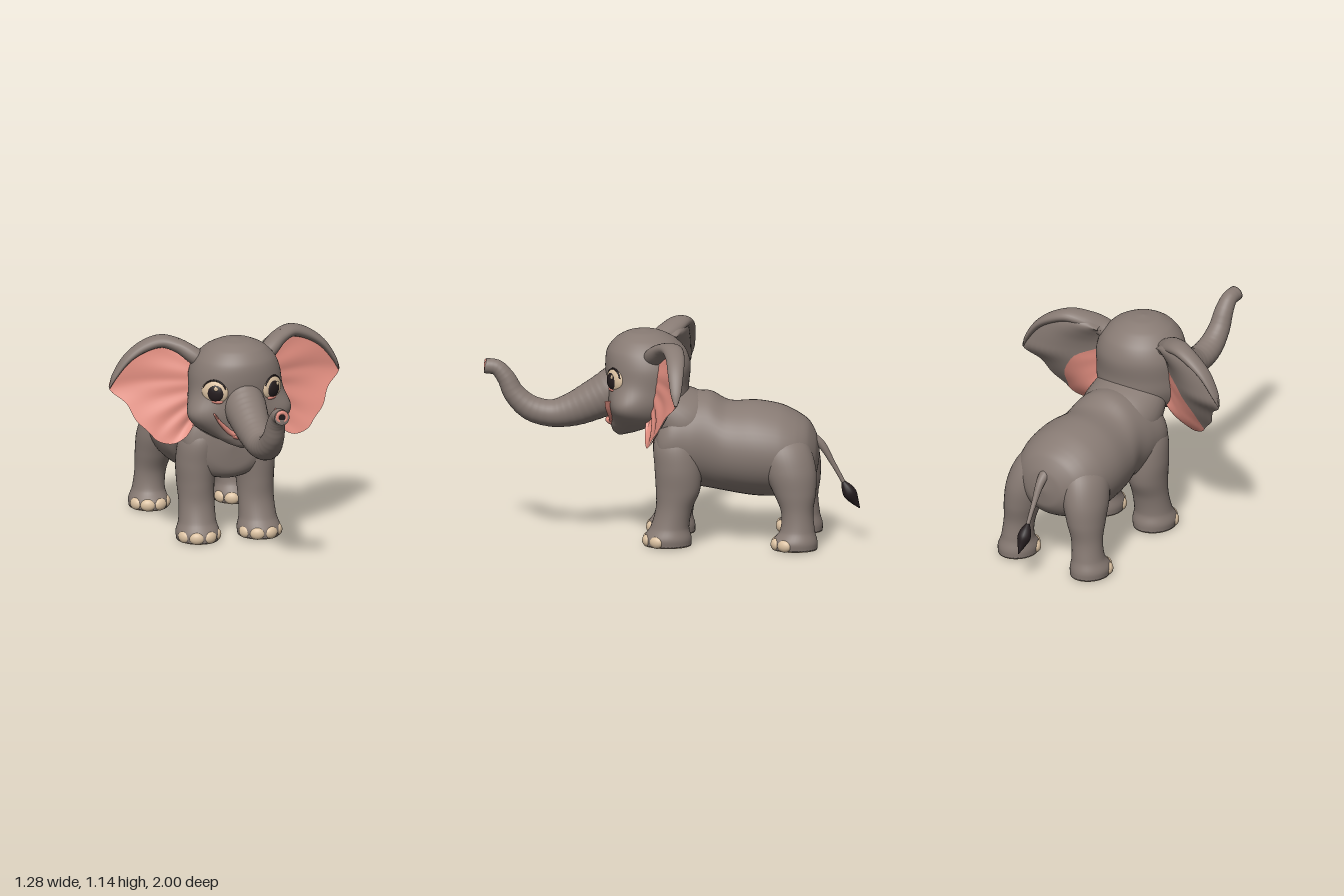
import * as THREE from 'three';

const mat = (name, color) => Object.assign(new THREE.MeshStandardMaterial({ color }), { name });
const M = {
  skin: mat('grey skin', 0x877a73),
  pink: mat('pink inner ear', 0xe38f81),
  cream: mat('cream nail', 0xdcc2a2),
  dark: mat('near black', 0x241c1e),
};

function mesh(name, geometry, material, parent) {
  const m = new THREE.Mesh(geometry, material);
  m.name = name;
  parent.add(m);
  return m;
}

function blob(name, material, pos, scale, parent, rotY = 0) {
  const m = mesh(name, new THREE.SphereGeometry(1, 28, 20), material, parent);
  m.position.set(...pos);
  m.scale.set(...scale);
  m.rotation.y = rotY;
  return m;
}

// Smooth closed skin over elliptical sections: rows of [x, y, z, radiusAlongSide, radiusAcross].
// axis fixes the section direction; otherwise sections follow the path. wrinkle adds fine rings.
function loft(rows, { axis, side = [1, 0, 0], seg = 36, sub = 7, wrinkle = 0, shape } = {}) {
  const path = new THREE.CatmullRomCurve3(rows.map(r => new THREE.Vector3(r[0], r[1], r[2])));
  const size = new THREE.CatmullRomCurve3(rows.map(r => new THREE.Vector3(r[3], r[4], 0)), false, 'catmullrom');
  const steps = (rows.length - 1) * sub, pos = [], idx = [];
  for (let i = 0; i <= steps; i++) {
    const t = i / steps, c = path.getPoint(t), s = size.getPoint(t);
    const T = axis ? new THREE.Vector3(...axis) : path.getTangent(t);
    const A = new THREE.Vector3(...side);
    A.addScaledVector(T, -A.dot(T)).normalize();
    const N = T.clone().cross(A);
    const k = 1 + wrinkle * Math.sin(i * 2.1);
    for (let j = 0; j < seg; j++) {
      const a = j / seg * Math.PI * 2;
      const p = c.clone()
        .addScaledVector(A, Math.cos(a) * Math.max(s.x, 0.001) * k)
        .addScaledVector(N, Math.sin(a) * Math.max(s.y, 0.001) * k);
      if (shape) shape(p);
      pos.push(p.x, p.y, p.z);
      if (i < steps) {
        const q = i * seg + j, r = i * seg + (j + 1) % seg;
        idx.push(q, r, r + seg, q, r + seg, q + seg);
      }
    }
  }
  const n = pos.length / 3, first = rows[0], last = rows[rows.length - 1];
  pos.push(...first.slice(0, 3), ...last.slice(0, 3));
  for (let j = 0; j < seg; j++) {
    const k = (j + 1) % seg;
    idx.push(n, k, j, n + 1, steps * seg + j, steps * seg + k);
  }
  return surface(pos, idx);
}

function surface(pos, idx) {
  const g = new THREE.BufferGeometry();
  g.setAttribute('position', new THREE.Float32BufferAttribute(pos, 3));
  g.setIndex(idx);
  g.computeVertexNormals();
  return g;
}

// Ear outline from the upper root, round the tip, to the lower root
const EAR = [[.2, 1.07, .08], [.28, 1.12, .03], [.36, 1.13, -.015], [.46, 1.095, -.04], [.56, 1.015, -.05],
  [.62, .92, -.055], [.64, .85, -.055], [.56, .775, 0], [.52, .69, .045], [.46, .63, .08], [.42, .585, .1],
  [.34, .565, .12], [.27, .6, .13], [.22, .67, .13]];

// One face of the ear; from and to give the limits [at the root, at the edge] along the outline
function earSheet(s, front, from = [0, 0], to = [1, 1]) {
  const outer = new THREE.CatmullRomCurve3(EAR.map(p => new THREE.Vector3(...p)));
  const lerp = THREE.MathUtils.lerp, nu = 60, nv = 14, pos = [], idx = [];
  for (let i = 0; i <= nu; i++) {
    for (let j = 0; j <= nv; j++) {
      const v = j / nv, bow = Math.sin(Math.PI * v);
      const u = lerp(lerp(...from, v), lerp(...to, v), i / nu);
      const p = new THREE.Vector3(.18, 1.03 - .31 * u, .08 + .04 * u).lerp(outer.getPoint(u), v);
      p.z -= .02 * bow;
      p.z += front ? .007 * bow * u * Math.sin(u * 42) : -bow * (.03 + .035 * (1 - u)) - .003;
      pos.push(p.x * s, p.y, p.z);
      if (i < nu && j < nv) {
        const a = i * (nv + 1) + j, b = a + 1, d = a + nv + 1, c = d + 1;
        if ((s > 0) === front) idx.push(a, c, b, a, d, c);
        else idx.push(a, b, c, a, c, d);
      }
    }
  }
  return surface(pos, idx);
}

function addEar(s, parent) {
  const ear = new THREE.Group();
  ear.name = s > 0 ? 'leftEar' : 'rightEar';
  parent.add(ear);
  mesh('innerEar', earSheet(s, true), M.pink, ear);
  mesh('earBack', earSheet(s, false, [0, 0], [.35, .73]), M.skin, ear);
  mesh('earBackLobe', earSheet(s, false, [.35, .73], [1, 1]), M.pink, ear);
  // Deep rolled upper rim
  const rim = [[.14, .98, .1, .06, .05], [.21, 1.035, .075, .06, .045], [.28, 1.08, .022, .06, .038],
    [.36, 1.1, -.02, .056, .034], [.45, 1.072, -.042, .05, .03], [.54, 1.01, -.05, .042, .022],
    [.61, .915, -.055, .028, .013], [.637, .853, -.056, .008, .004]];
  mesh('earRim', loft(rim.map(([x, ...r]) => [x * s, ...r]), { side: [0, 0, 1], seg: 24 }), M.skin, ear);
}

function addLeg(name, rows, s, parent) {
  const leg = new THREE.Group();
  leg.name = name;
  parent.add(leg);
  mesh('leg', loft(rows.map(([x, ...r]) => [x * s, ...r]), { axis: [0, 1, 0] }), M.skin, leg);
  const [x, , z, rx, rz] = rows[0];
  const sole = mesh('sole', new THREE.CylinderGeometry(1, 1, .006, 36), M.cream, leg);
  sole.position.set(x * s, .003, z);
  sole.scale.set(rx * .98, 1, rz * .98);
  // Broad toenails round the front of the foot
  for (const a of [-1.12, -.39, .36, 1.08]) {
    blob('toenail', M.cream, [(x + Math.sin(a) * rx * .9) * s, .03, z + Math.cos(a) * rz * .9],
      [.04, .033, .025], leg, a * s);
  }
}

function addEye(s, parent) {
  const eye = new THREE.Group();
  eye.name = s > 0 ? 'leftEye' : 'rightEye';
  eye.position.set(.156 * s, .888, .293);
  eye.rotation.y = .6 * s;
  parent.add(eye);
  blob('eyeWhite', M.cream, [0, 0, 0], [.074, .067, .03], eye);
  blob('iris', M.dark, [-.006 * s, -.003, .015], [.048, .048, .021], eye);
  blob('glint', M.cream, [.014, .024, .032], [.012, .012, .005], eye);
  blob('lowerLid', M.pink, [-.012 * s, -.05, .013], [.036, .012, .013], eye);
  const lash = mesh('lashLine', new THREE.TorusGeometry(.064, .005, 8, 28, Math.PI * .8), M.dark, eye);
  lash.position.z = .01;
  lash.rotation.z = Math.PI * .1;
}

// Swells the skull into cheeks on both sides
function cheeks(p) {
  const d2 = (Math.abs(p.x) - .2) ** 2 + (p.y - .75) ** 2 + (p.z - .23) ** 2;
  const out = new THREE.Vector3(p.x, 0, p.z - .15).normalize();
  p.addScaledVector(out, .07 * Math.exp(-d2 / .009));
}

export function createModel() {
  const g = new THREE.Group();
  g.name = 'elephant';

  // Body, rump to chest
  mesh('body', loft([[0, .47, -.785, .01, .01], [0, .47, -.77, .11, .1], [0, .48, -.73, .19, .165],
    [0, .485, -.67, .24, .205], [0, .49, -.58, .27, .242], [0, .5, -.45, .277, .254], [0, .51, -.3, .258, .243],
    [0, .543, -.2, .238, .26], [0, .55, -.1, .246, .25], [0, .55, 0, .25, .23], [0, .53, .06, .22, .19],
    [0, .52, .09, .14, .13], [0, .52, .102, .01, .01]], { axis: [0, 0, 1], seg: 48 }), M.skin, g);
  mesh('neck', loft([[0, .53, -.17, .18, .18], [0, .63, -.07, .225, .19], [0, .72, .03, .215, .15],
    [0, .8, .1, .18, .11]]), M.skin, g);

  // Legs
  const front = [[.17, .004, .015, .112, .127], [.17, .045, .015, .116, .127], [.168, .1, .003, .101, .103],
    [.165, .2, -.02, .096, .098], [.165, .3, -.04, .1, .118], [.162, .42, -.04, .108, .125],
    [.15, .55, -.03, .1, .12], [.12, .66, -.04, .06, .08]];
  const hind = [[.235, .004, -.667, .103, .12], [.235, .045, -.667, .105, .12], [.23, .1, -.68, .087, .093],
    [.22, .2, -.678, .084, .086], [.205, .3, -.664, .1, .114], [.183, .42, -.635, .117, .142],
    [.15, .54, -.6, .112, .14], [.11, .64, -.58, .06, .08]];
  for (const s of [1, -1]) {
    const label = s > 0 ? 'left' : 'right';
    addLeg(label + 'FrontLeg', front, s, g);
    addLeg(label + 'HindLeg', hind, s, g);
  }

  // Head with chin and cheeks
  const head = new THREE.Group();
  head.name = 'head';
  g.add(head);
  mesh('skull', loft([[0, .563, .275, .015, .015], [0, .585, .25, .075, .065], [0, .625, .205, .145, .125],
    [0, .68, .15, .21, .185], [0, .76, .13, .242, .215], [0, .85, .13, .248, .22], [0, .95, .13, .246, .227],
    [0, 1.03, .138, .216, .208], [0, 1.09, .145, .16, .155], [0, 1.125, .15, .085, .085],
    [0, 1.136, .15, .003, .003]], { axis: [0, 1, 0], seg: 64, shape: cheeks }), M.skin, head);
  blob('tongue', M.pink, [0, .642, .272], [.085, .032, .085], head);
  for (const s of [1, -1]) {
    const smile = [[.172, .775, .333], [.147, .735, .331], [.118, .7, .323], [.083, .667, .315], [.04, .645, .318]];
    mesh('smile', loft(smile.map(([x, y, z], i) => [x * s, y, z, .017, .005 + i * .0035]),
      { side: [0, 0, 1], seg: 14 }), M.pink, head);
    addEye(s, head);
    addEar(s, head);
  }

  // Raised trunk with open tip
  mesh('trunk', loft([[0, .9, .17, .1, .14], [0, .8, .32, .112, .12], [0, .745, .42, .102, .106],
    [0, .695, .53, .086, .09], [0, .672, .64, .075, .073], [0, .7, .755, .068, .067], [0, .775, .84, .058, .057],
    [0, .865, .888, .05, .048], [0, .916, .935, .043, .042], [0, .926, .997, .041, .041]],
  { sub: 9, wrinkle: .009 }), M.skin, head);
  const tip = mesh('trunkTip', new THREE.TorusGeometry(.026, .012, 12, 32), M.pink, head);
  tip.position.set(0, .926, .989);
  const nostril = mesh('nostril', new THREE.CircleGeometry(.018, 24), M.dark, head);
  nostril.position.set(0, .926, .999);

  // Tail with dark tuft
  mesh('tail', loft([[0, .57, -.71, .04, .035], [0, .53, -.785, .026, .024], [0, .42, -.855, .015, .014],
    [0, .32, -.91, .011, .011], [0, .27, -.935, .01, .01]], { seg: 16 }), M.skin, g);
  mesh('tailTuft', loft([[0, .32, -.91, .01, .01], [0, .285, -.93, .03, .03], [0, .25, -.95, .035, .036],
    [0, .21, -.975, .018, .02], [0, .176, -.999, .002, .002]], { seg: 16 }), M.dark, g);

  return g;
}
